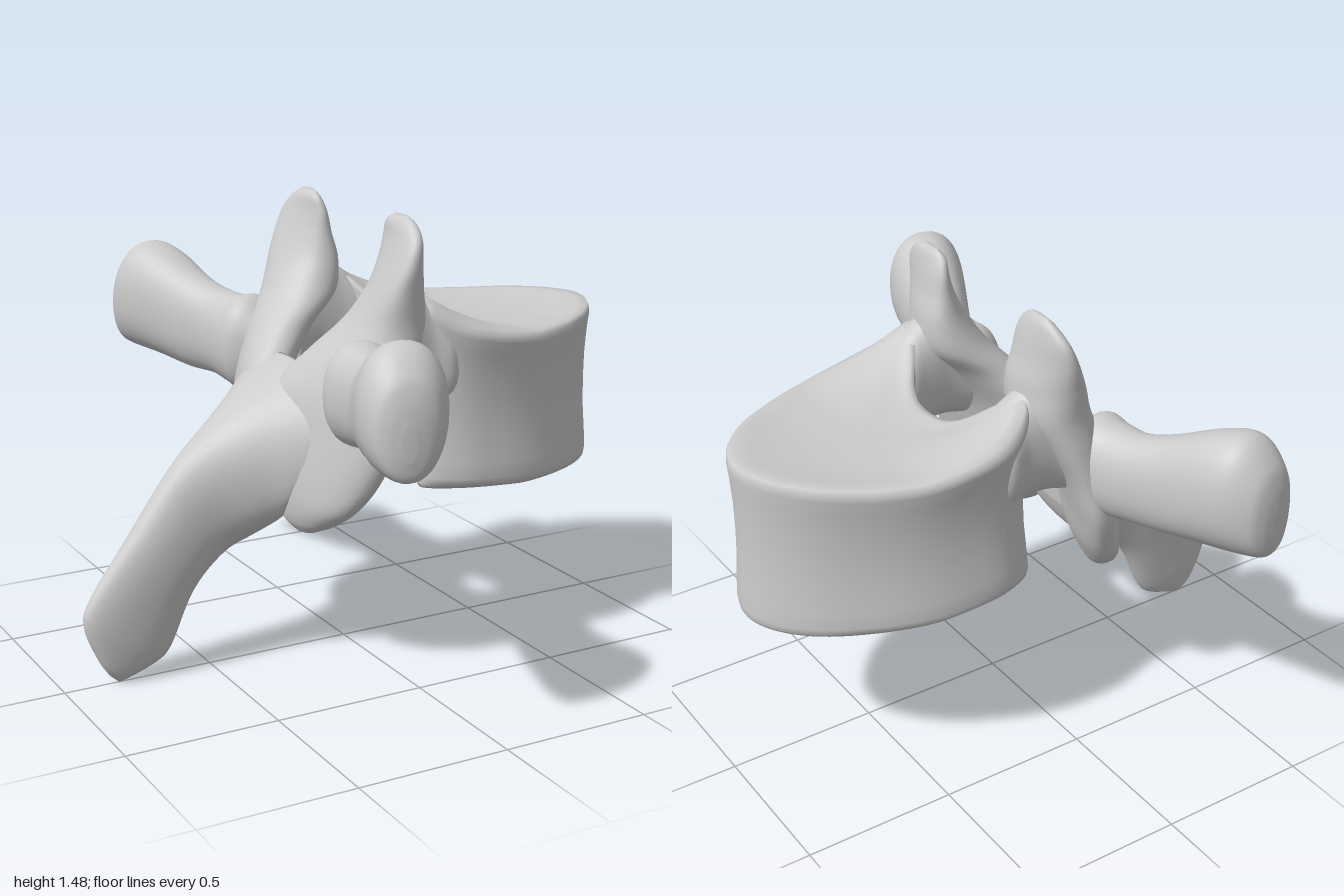
import * as THREE from 'three';

const material = new THREE.MeshStandardMaterial({ color: 0xcccccc });

// Skin a stack of closed loops; the winding follows from the enclosed volume
function skin(rows) {
  const n = rows[0].length, pos = [], index = [];
  for (const row of rows) for (const p of row) pos.push(p.x, p.y, p.z);
  for (let i = 0; i < rows.length - 1; i++) {
    for (let j = 0; j < n; j++) {
      const a = i * n + j, b = i * n + (j + 1) % n, c = a + n, d = b + n;
      index.push(a, b, d, a, d, c);
    }
  }
  const flat = rows.flat();
  const mid = flat.reduce((s, p) => s.add(p), new THREE.Vector3()).divideScalar(flat.length);
  const rel = flat.map((p) => p.clone().sub(mid));
  let volume = 0;
  for (let k = 0; k < index.length; k += 3) {
    volume += rel[index[k]].dot(rel[index[k + 1]].clone().cross(rel[index[k + 2]]));
  }
  if (volume < 0) index.reverse();
  const g = new THREE.BufferGeometry();
  g.setAttribute('position', new THREE.Float32BufferAttribute(pos, 3));
  g.setIndex(index);
  g.computeVertexNormals();
  return g;
}

// Smooth loft through sections [centre, half axis U, half axis V]; side -1 mirrors in z
function loft(sections, side = 1) {
  const sides = 36, perSpan = 6, power = 0.9;
  const curves = [0, 1, 2].map((k) => new THREE.CatmullRomCurve3(
    sections.map((s) => new THREE.Vector3(s[k][0], s[k][1], s[k][2] * side)), false, 'catmullrom', 0.5));
  const round = (v) => Math.sign(v) * Math.abs(v) ** power;
  const rows = [], steps = (sections.length - 1) * perSpan;
  for (let i = 0; i <= steps; i++) {
    const [c, u, v] = curves.map((q) => q.getPoint(i / steps));
    const row = [];
    for (let j = 0; j < sides; j++) {
      const a = j / sides * Math.PI * 2;
      row.push(c.clone().addScaledVector(u, round(Math.cos(a))).addScaledVector(v, round(Math.sin(a))));
    }
    if (i === 0) rows.push(row.map(() => c.clone()));
    rows.push(row);
    if (i === steps) rows.push(row.map(() => c.clone()));
  }
  return skin(rows);
}

// Kidney-shaped drum with a pinched waist, dished ends and two raised rear shoulders
function bodyGeometry() {
  const half = [[0.21, 0.13], [0.14, 0.24], [0.1, 0.35], [0.2, 0.408], [0.35, 0.417], [0.5, 0.393],
    [0.66, 0.325], [0.8, 0.228], [0.89, 0.11]];
  const outline = [[0.24, 0], ...half, [0.92, 0], ...half.map(([x, z]) => [x, -z]).reverse()]
    .map(([x, z]) => new THREE.Vector3(x, 0, z));
  const loop = new THREE.CatmullRomCurve3(outline, true).getPoints(96).slice(0, -1);
  const { smoothstep } = THREE.MathUtils;
  // [scale, height fraction]
  const profile = [[0, 0.025], [0.5, 0.02], [0.86, 0.008], [0.95, 0], [0.985, 0.02], [1, 0.06], [0.985, 0.16],
    [0.955, 0.32], [0.94, 0.5], [0.945, 0.68], [0.97, 0.84], [0.995, 0.93], [0.99, 0.97], [0.96, 0.997],
    [0.9, 1], [0.82, 0.995], [0.72, 0.985], [0.6, 0.98], [0.45, 0.975], [0.25, 0.97], [0, 0.97]];
  return skin(profile.map(([s, h]) => loop.map((p) => {
    const sx = 1 - (1 - s) * (s > 0.93 ? 0.4 : 1);
    const x = 0.47 + (p.x - 0.47) * sx, z = p.z * s, w = Math.abs(z);
    const shoulder = smoothstep(w, 0.06, 0.3) * (1 - 0.5 * smoothstep(w, 0.33, 0.43));
    const bottom = 0.555 + Math.max(0, 0.45 - x) * 0.08 + z * z * 0.17;
    const top = 1.08 + 0.06 * Math.max(0, x - 0.65) + 0.58 * Math.max(0, 0.52 - x) ** 1.6 * shoulder;
    return new THREE.Vector3(x, bottom + (top - bottom) * h, z);
  })));
}

export function createModel() {
  const model = new THREE.Group();
  const add = (name, geometry) => {
    const m = new THREE.Mesh(geometry, material);
    m.name = name;
    model.add(m);
  };

  add('vertebralBody', bodyGeometry());

  // Long blade pointing back and down, flaring into the arch: upper edge, lower edge, half width
  const spine = [
    [-0.2, 1.0, -0.24, 0.6, 0.27], [-0.25, 0.98, -0.265, 0.535, 0.29], [-0.32, 0.93, -0.3, 0.48, 0.245],
    [-0.42, 0.855, -0.355, 0.435, 0.172], [-0.6, 0.7, -0.45, 0.38, 0.09],
    [-0.76, 0.49, -0.555, 0.27, 0.07], [-0.905, 0.29, -0.635, 0.095, 0.052],
    [-0.925, 0.2, -0.69, 0.045, 0.045], [-0.885, 0.09, -0.785, 0.01, 0.03], [-0.85, 0.03, -0.815, 0.0, 0.008]];
  add('spinousProcess', loft(spine.map(([ux, uy, lx, ly, w]) =>
    [[(ux + lx) / 2, (uy + ly) / 2, 0], [(ux - lx) / 2, (uy - ly) / 2, 0], [0, 0, w]])));

  for (const [side, label] of [[1, 'Left'], [-1, 'Right']]) {
    // Bridge from body to arch: centre, half height, half width
    const pedicle = [[0.24, 0.98, 0.29, 0.1, 0.07], [0.18, 1.01, 0.292, 0.16, 0.1], [0.11, 1.045, 0.29, 0.18, 0.088],
      [0.03, 1.07, 0.295, 0.195, 0.09], [-0.06, 1.0, 0.3, 0.14, 0.1]];
    add('pedicle' + label, loft(pedicle.map(([x, y, z, h, w]) => [[x, y, z], [0, h, 0], [0, 0, w]]), side));

    // Half of the arch as one plate, from the lower joint face up to the thin upper tongue:
    // centre, half thickness, half width along x and z
    const pillar = [[-0.26, 0.485, 0.225, 0.015, 0.01, 0.03], [-0.25, 0.52, 0.235, 0.045, 0.03, 0.09],
      [-0.235, 0.58, 0.25, 0.068, 0.045, 0.15], [-0.215, 0.67, 0.25, 0.085, 0.07, 0.2],
      [-0.19, 0.8, 0.25, 0.09, 0.09, 0.235], [-0.155, 0.93, 0.25, 0.1, 0.085, 0.22],
      [-0.085, 1.05, 0.275, 0.11, 0.05, 0.175], [-0.015, 1.15, 0.287, 0.112, 0.0, 0.148],
      [0.012, 1.25, 0.305, 0.085, -0.025, 0.135], [0.022, 1.34, 0.32, 0.055, -0.02, 0.128],
      [0.03, 1.41, 0.32, 0.036, -0.01, 0.116], [0.032, 1.455, 0.308, 0.024, 0, 0.082],
      [0.034, 1.478, 0.303, 0.008, 0, 0.04]];
    add('articularPillar' + label, loft(pillar.map(([x, y, z, t, wx, wz]) =>
      [[x, y, z], [t, 0, 0], [wx, 0, wz]]), side));

    // Club-ended side arm: centre, half depth, half height
    const arm = [[-0.13, 0.95, 0.3, 0.07, 0.11], [-0.145, 0.955, 0.37, 0.115, 0.165], [-0.16, 0.955, 0.45, 0.105, 0.155],
      [-0.18, 0.965, 0.55, 0.093, 0.15], [-0.22, 0.985, 0.65, 0.1, 0.165], [-0.265, 1.03, 0.79, 0.123, 0.188],
      [-0.3, 1.045, 0.89, 0.128, 0.192], [-0.325, 1.015, 0.96, 0.1, 0.155], [-0.335, 0.99, 0.985, 0.065, 0.115],
      [-0.34, 0.98, 0.995, 0.02, 0.05]];
    add('transverseProcess' + label, loft(arm.map(([x, y, z, d, h]) =>
      [[x, y, z], [d, 0, d * 0.25], [0, h, 0]]), side));
  }
  return model;
}
